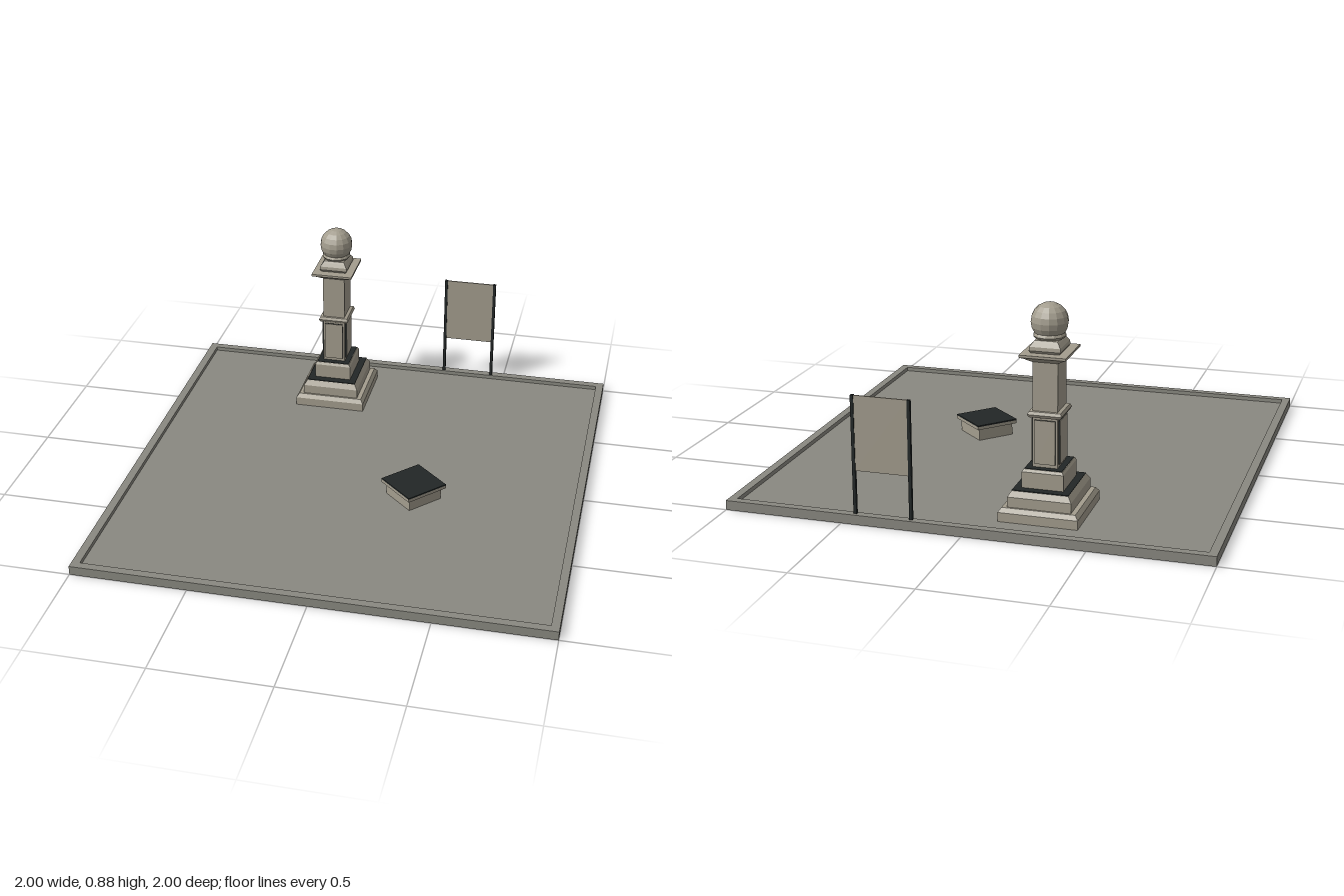
import * as THREE from 'three';

const mat = (color) => new THREE.MeshStandardMaterial({ color, flatShading: true });
const stone = mat(0xa39d8e), paving = mat(0x8a8981), dark = mat(0x222727);

function add(parent, name, geometry, material, x = 0, y = 0, z = 0) {
  const mesh = new THREE.Mesh(geometry, material);
  mesh.name = name;
  mesh.position.set(x, y, z);
  parent.add(mesh);
  return mesh;
}

const box = (w, h, d) => new THREE.BoxGeometry(w, h, d);

// Rectangular moulding from [half width, y] points, made deeper in z by a fixed amount
function moulding(profile, extra) {
  const pts = profile.map(([r, y]) => new THREE.Vector2(r * Math.SQRT2, y));
  const g = new THREE.LatheGeometry(pts, 4, Math.PI / 4).toNonIndexed();
  const p = g.attributes.position;
  for (let i = 0; i < p.count; i++) p.setZ(i, p.getZ(i) + Math.sign(p.getZ(i)) * extra);
  g.computeVertexNormals();
  return g;
}

function buildGround() {
  const ground = new THREE.Group();
  ground.name = 'ground';
  const square = (path, s) => path.moveTo(-s, -s).lineTo(s, -s).lineTo(s, s).lineTo(-s, s).closePath();
  const shape = new THREE.Shape();
  square(shape, 1);
  const hole = new THREE.Path();
  square(hole, 0.965);
  shape.holes.push(hole);
  const rim = new THREE.ExtrudeGeometry(shape, { depth: 0.04, bevelEnabled: false });
  rim.rotateX(-Math.PI / 2);
  add(ground, 'rim', rim, paving);
  add(ground, 'floor', box(1.93, 0.022, 1.93), paving, 0, 0.011, 0);
  return ground;
}

function buildMonument() {
  const monument = new THREE.Group();
  monument.name = 'monument';
  monument.position.set(-0.267, 0, -0.687);

  // Stepped plinth
  add(monument, 'lowerStep', moulding([[0.163, 0.02], [0.163, 0.06], [0.15, 0.078], [0, 0.078]], 0.01), stone);
  add(monument, 'middleStep', moulding(
    [[0.13, 0.078], [0.13, 0.12], [0.115, 0.143], [0, 0.143]], 0.021), stone);
  add(monument, 'middleStepTop', box(0.23, 0.004, 0.27), dark, 0, 0.144, 0);
  add(monument, 'upperStep', moulding([[0.085, 0.144], [0.085, 0.212], [0.078, 0.223], [0, 0.223]], 0.015), stone);
  add(monument, 'upperStepTop', box(0.152, 0.004, 0.182), dark, 0, 0.223, 0);

  // Shaft with a band halfway up
  add(monument, 'shaft', box(0.102, 0.45, 0.128), stone, 0, 0.445, 0);
  add(monument, 'band', moulding(
    [[0.05, 0.425], [0.064, 0.43], [0.07, 0.442], [0.064, 0.454], [0.05, 0.458]], 0.007), stone);

  // Framed plaques on the four faces of the lower shaft
  for (let i = 0; i < 4; i++) {
    const side = new THREE.Group();
    side.name = 'plaque';
    side.rotation.y = i * Math.PI / 2;
    const front = i % 2 === 0;
    const width = front ? 0.085 : 0.105, reach = front ? 0.064 : 0.051;
    add(side, 'plaqueBacking', box(width, 0.18, 0.012), dark, 0, 0.33, reach);
    add(side, 'plaqueFace', box(width, 0.18, 0.002), stone, 0, 0.33, reach + 0.007);
    monument.add(side);
  }

  // Flared capital and neck
  add(monument, 'capital', moulding(
    [[0.052, 0.655], [0.06, 0.66], [0.078, 0.672], [0.094, 0.68], [0.094, 0.69], [0, 0.69]], 0.015), stone);
  add(monument, 'neck', moulding(
    [[0.058, 0.69], [0.064, 0.7], [0.062, 0.715], [0.052, 0.73], [0.046, 0.738], [0, 0.738]], 0.008), stone);
  const collar = new THREE.LatheGeometry(
    [[0.045, 0.735], [0.058, 0.74], [0.066, 0.75], [0.06, 0.762], [0.038, 0.77], [0, 0.77]]
      .map(([r, y]) => new THREE.Vector2(r, y)), 12);
  add(monument, 'collar', collar, stone);

  // Crowning ball
  add(monument, 'ball', new THREE.SphereGeometry(0.075, 14, 10), stone, 0, 0.806, 0);
  return monument;
}

function buildSign() {
  const sign = new THREE.Group();
  sign.name = 'sign';
  sign.position.set(0.328, 0, -0.978);
  for (const s of [-1, 1]) add(sign, 'signPost', box(0.013, 0.5, 0.013), dark, s * 0.117, 0.281, 0);
  add(sign, 'signPanel', box(0.224, 0.31, 0.006), stone, 0, 0.375, 0);
  return sign;
}

function buildPedestal() {
  const pedestal = new THREE.Group();
  pedestal.name = 'pedestal';
  pedestal.position.set(0.27, 0, 0.155);
  pedestal.rotation.y = THREE.MathUtils.degToRad(47);
  add(pedestal, 'pedestalBody', box(0.17, 0.06, 0.17), stone, 0, 0.05, 0);
  add(pedestal, 'pedestalSlab', box(0.2, 0.014, 0.2), stone, 0, 0.084, 0);
  add(pedestal, 'pedestalTop', box(0.2, 0.006, 0.2), dark, 0, 0.094, 0);
  return pedestal;
}

export function createModel() {
  const model = new THREE.Group();
  model.name = 'monumentSquare';
  model.add(buildGround(), buildMonument(), buildSign(), buildPedestal());
  return model;
}
